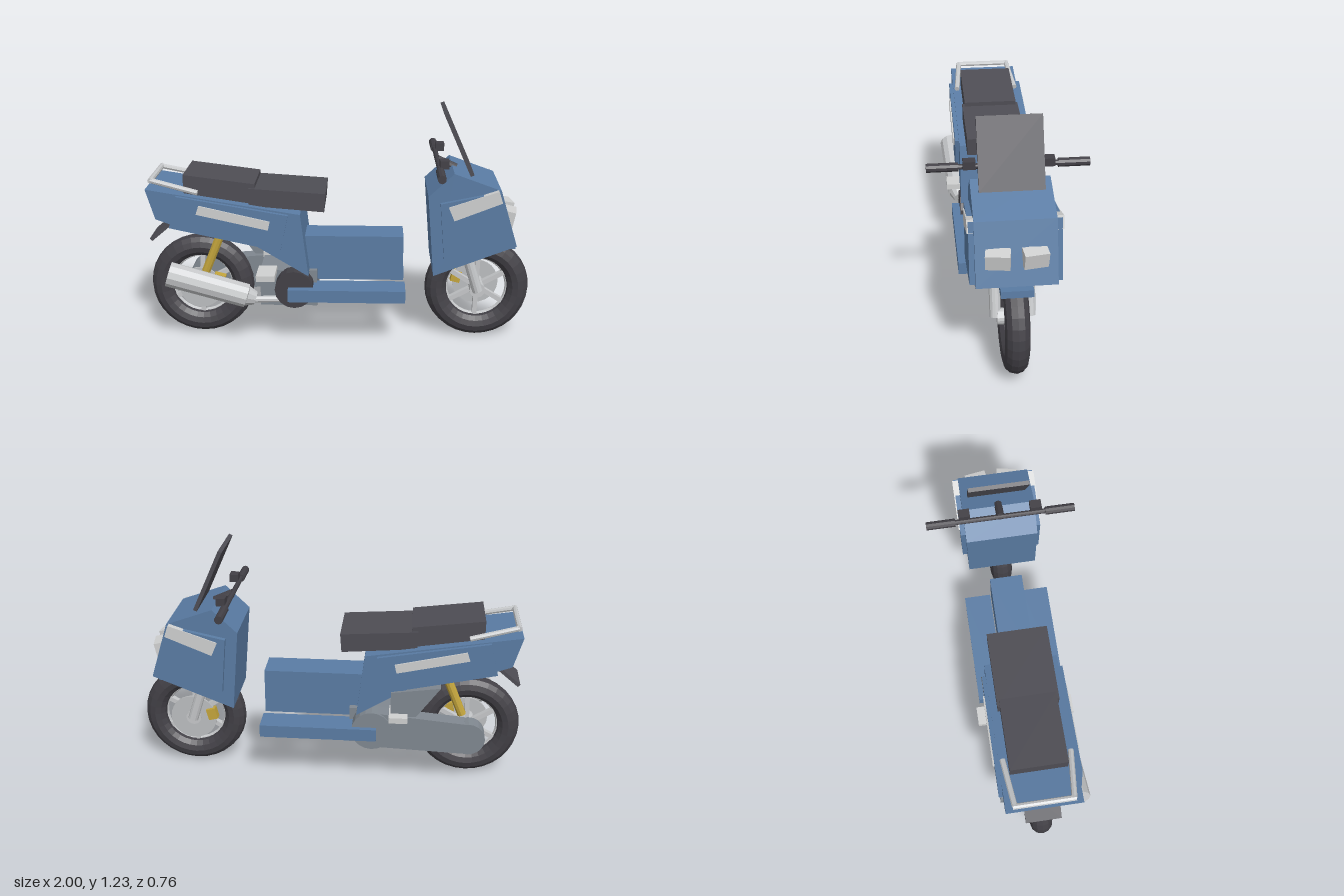
import * as THREE from 'three';

const mat = (name, color, flat = true) => {
  const m = new THREE.MeshStandardMaterial({ color, flatShading: flat });
  m.name = name;
  return m;
};

export function createModel() {
  const root = new THREE.Group();
  root.name = 'scooter';
  const blue = mat('bluePaint', 0x5a7ca4);
  const seatDark = mat('darkVinyl', 0x4e4d54);
  const rubber = mat('rubber', 0x424046);
  const silver = mat('silverMetal', 0xc6c8ca);
  const lens = mat('lens', 0xcfd0d0);
  const steel = mat('discSteel', 0xbcbec0);
  const grey = mat('engineGrey', 0x808890);
  const gold = mat('gold', 0xc4a53c);

  const add = (name, geo, material, parent = root) => {
    const m = new THREE.Mesh(geo, material);
    m.name = name;
    parent.add(m);
    return m;
  };
  const box = (name, size, pos, material, rz = 0, ry = 0, parent = root) => {
    const m = add(name, new THREE.BoxGeometry(...size), material, parent);
    m.position.set(...pos);
    m.rotation.set(0, ry, rz, 'YZX');
    return m;
  };
  // Side profile in x, y, extruded between two z values
  const slab = (name, pts, z0, z1, material) => {
    const shape = new THREE.Shape(pts.map(([x, y]) => new THREE.Vector2(x, y)));
    const geo = new THREE.ExtrudeGeometry(shape, { depth: z1 - z0, bevelEnabled: false });
    geo.translate(0, 0, z0);
    return add(name, geo, material);
  };
  // Round bar from a to b
  const bar = (name, a, b, r0, r1, material, sides = 12, parent = root) => {
    const A = new THREE.Vector3(...a), B = new THREE.Vector3(...b);
    const dir = B.clone().sub(A);
    const m = add(name, new THREE.CylinderGeometry(r1, r0, dir.length(), sides), material, parent);
    m.position.copy(A).add(B).multiplyScalar(0.5);
    m.quaternion.setFromUnitVectors(new THREE.Vector3(0, 1, 0), dir.normalize());
    return m;
  };

  // Wheels: tyre, rim, hub, spokes and brake disc
  const wheel = (name, x, discZ, discR) => {
    const w = new THREE.Group();
    w.name = name;
    w.position.set(x, 0.278, 0);
    root.add(w);
    add('tyre', new THREE.TorusGeometry(0.215, 0.058, 12, 32), rubber, w);
    add('rim', new THREE.TorusGeometry(0.165, 0.014, 8, 32), silver, w);
    bar('hub', [0, 0, -0.075], [0, 0, 0.075], 0.04, 0.04, silver, 16, w);
    for (let i = 0; i < 6; i++) {
      const a = i * Math.PI / 3 + 0.5;
      box('spoke', [0.14, 0.024, 0.03], [0.095 * Math.cos(a), 0.095 * Math.sin(a), 0], silver, a, 0, w);
    }
    bar('brakeDisc', [0, 0, discZ - 0.005], [0, 0, discZ + 0.005], discR, discR, steel, 24, w);
  };
  wheel('rearWheel', -0.73, 0.072, 0.112);
  wheel('frontWheel', 0.722, -0.063, 0.122);
  box('frontCaliper', [0.05, 0.06, 0.04], [0.62, 0.305, -0.065], gold, -0.25);
  box('rearCaliper', [0.06, 0.05, 0.04], [-0.63, 0.33, 0.075], gold, -0.25);

  // Front cowl
  slab('frontCowl', [[0.48, 0.40], [0.895, 0.565], [0.805, 0.855], [0.57, 0.94], [0.445, 0.82]], -0.185, 0.185, blue);
  box('frontLip', [0.17, 0.035, 0.15], [0.822, 0.525, 0], blue, 0.06);
  box('windshield', [0.02, 0.34, 0.3], [0.592, 1.075, 0], seatDark, 0.424);

  // Rear body and tail
  slab('rearBody', [[-0.97, 0.845], [-0.925, 0.69], [-0.83, 0.655], [-0.45, 0.57], [-0.155, 0.39],
    [-0.195, 0.72]], -0.185, 0.185, blue);
  box('centreTunnel', [0.51, 0.235, 0.172], [0.075, 0.457, 0], blue);

  // Seat
  slab('rearSeat', [[-0.785, 0.815], [-0.425, 0.76], [-0.425, 0.865], [-0.785, 0.91]], -0.14, 0.14, seatDark);
  slab('frontSeat', [[-0.455, 0.755], [-0.075, 0.725], [-0.068, 0.82], [-0.455, 0.845]], -0.152, 0.152, seatDark);

  // Handlebar
  bar('handlebar', [0.495, 0.965, -0.26], [0.495, 0.965, 0.26], 0.013, 0.013, rubber, 10);
  bar('handlebarStem', [0.495, 0.967, 0], [0.59, 0.925, 0], 0.02, 0.02, rubber, 10);

  for (const s of [1, -1]) {
    // Mirrored parts on both sides
    const side = (name, pts, z0, z1, m) => slab(name, pts, Math.min(s * z0, s * z1), Math.max(s * z0, s * z1), m);
    side('cowlSidePanel', [[0.53, 0.5], [0.855, 0.56], [0.80, 0.852], [0.505, 0.79]], 0.18, 0.21, blue);
    side('cowlSideLight', [[0.575, 0.705], [0.81, 0.80], [0.79, 0.86], [0.545, 0.775]], 0.184, 0.216, lens);
    side('rearSidePanel', [[-0.855, 0.65], [-0.295, 0.53], [-0.255, 0.72], [-0.815, 0.815]], 0.18, 0.205, blue);
    side('rearSideLight', [[-0.715, 0.725], [-0.355, 0.645], [-0.345, 0.69], [-0.70, 0.77]], 0.204, 0.213, lens);
    box('headlight', [0.06, 0.08, 0.112], [0.86, 0.693, s * 0.083], lens, -0.2, -s * 0.15);
    box('floorboard', [0.6, 0.065, 0.142], [0.04, 0.298, s * 0.161], blue);
    box('passengerPeg', [0.095, 0.03, 0.15], [-0.37, 0.4, s * 0.178], lens);
    bar('forkLeg', [0.722, 0.278, s * 0.083], [0.645, 0.52, s * 0.083], 0.027, 0.027, silver);
    bar('grip', [0.495, 0.965, s * 0.23], [0.495, 0.965, s * 0.378], 0.021, 0.021, rubber, 10);
    box('switchBox', [0.045, 0.04, 0.058], [0.518, 0.99, s * 0.182], rubber);
    bar('rearShock', [-0.695, 0.38, s * 0.105], [-0.605, 0.6, s * 0.105], 0.023, 0.023, gold, 10);
    bar('grabRailSide', [-0.71, 0.825, s * 0.165], [-0.948, 0.88, s * 0.14], 0.014, 0.014, silver, 8);
  }
  bar('grabRailRear', [-0.948, 0.88, -0.15], [-0.948, 0.88, 0.15], 0.014, 0.014, silver, 8);
  box('plateHolder', [0.2, 0.018, 0.18], [-0.9, 0.61, 0], seatDark, 0.7);

  // Engine, belt case and air box
  box('engineBlock', [0.295, 0.195, 0.236], [-0.263, 0.298, 0], grey);
  bar('clutchCover', [-0.23, 0.315, 0.11], [-0.23, 0.315, 0.19], 0.1, 0.1, rubber, 16);
  slab('beltCase', [[-0.75, 0.195], [-0.24, 0.215], [-0.22, 0.41], [-0.71, 0.365]], -0.195, -0.11, grey);
  bar('beltCaseRear', [-0.73, 0.28, -0.195], [-0.73, 0.28, -0.11], 0.086, 0.086, grey, 20);
  bar('beltCaseFront', [-0.235, 0.31, -0.205], [-0.235, 0.31, -0.11], 0.104, 0.104, grey, 20);
  slab('airBox', [[-0.46, 0.40], [-0.33, 0.40], [-0.33, 0.53], [-0.58, 0.565]], -0.2, -0.11, grey);

  // Exhaust
  bar('muffler', [-0.872, 0.4, 0.2], [-0.475, 0.277, 0.18], 0.065, 0.062, silver);
  bar('mufflerNeck', [-0.475, 0.277, 0.18], [-0.432, 0.262, 0.175], 0.054, 0.036, silver);
  bar('exhaustPipe', [-0.44, 0.255, 0.175], [-0.25, 0.23, 0.1], 0.018, 0.018, silver, 10);

  return root;
}
